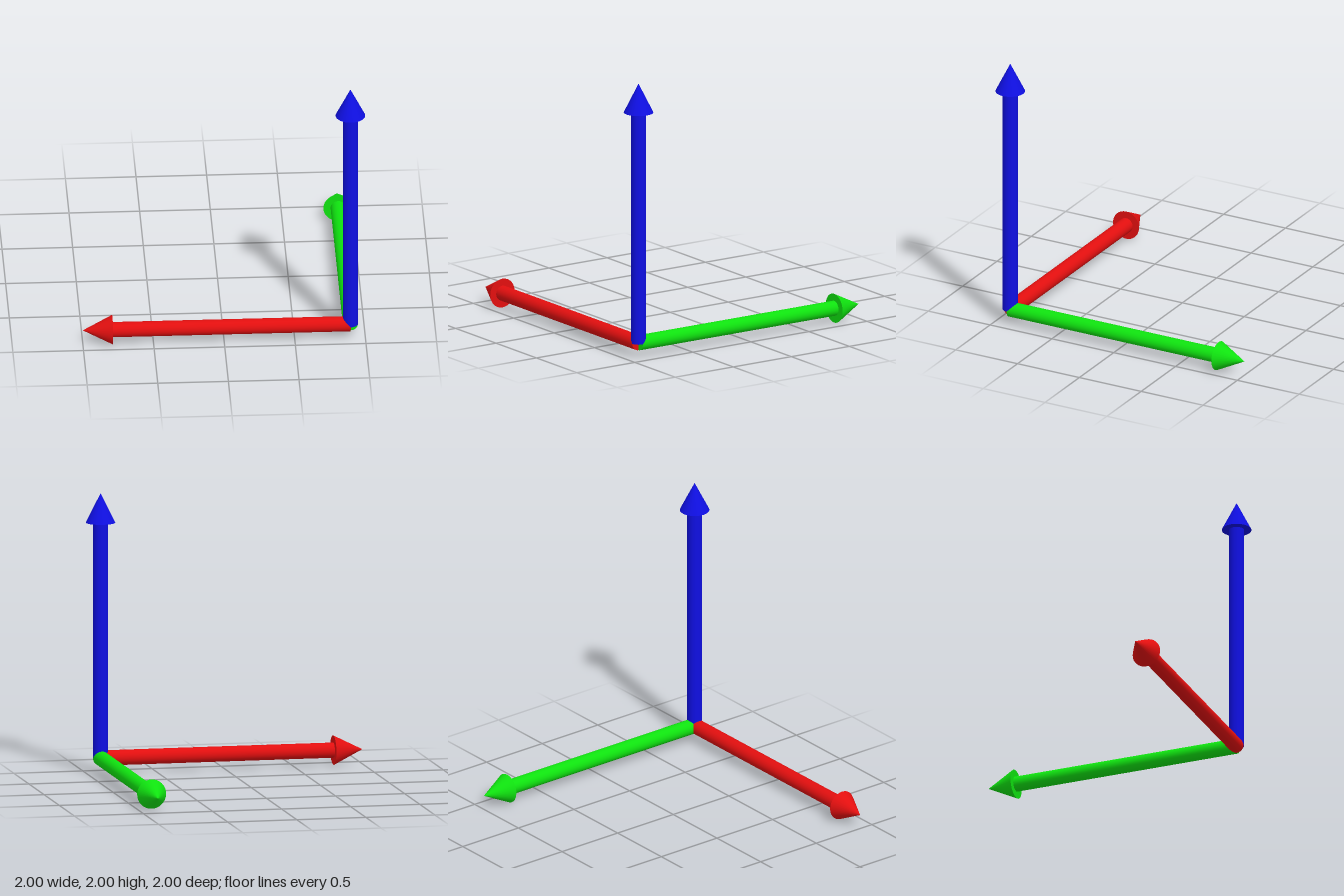
import * as THREE from 'three';

const SEGMENTS = 32;
const LENGTH = 1.895;
const HEAD_LENGTH = 0.21;
const HEAD_RADIUS = 0.105;
const SHAFT_RADIUS = 0.054;

function makeMaterial(name, color) {
  const material = new THREE.MeshStandardMaterial({ color });
  material.name = name;
  return material;
}

// An arrow that starts at the origin and points up +y
function makeArrow(name, material) {
  const arrow = new THREE.Group();
  arrow.name = name;

  const shaftLength = LENGTH - HEAD_LENGTH;
  const shaft = new THREE.Mesh(
    new THREE.CylinderGeometry(SHAFT_RADIUS, SHAFT_RADIUS, shaftLength, SEGMENTS), material);
  shaft.name = name + 'Shaft';
  shaft.position.y = shaftLength / 2;

  const head = new THREE.Mesh(
    new THREE.ConeGeometry(HEAD_RADIUS, HEAD_LENGTH, SEGMENTS), material);
  head.name = name + 'Head';
  head.position.y = LENGTH - HEAD_LENGTH / 2;

  arrow.add(shaft, head);
  return arrow;
}

export function createModel() {
  const model = new THREE.Group();
  model.name = 'axisArrows';

  // Three arrows share one corner
  const up = makeArrow('upArrow', makeMaterial('blue', 0x0f0fe2));
  const side = makeArrow('sideArrow', makeMaterial('red', 0xe20f0f));
  const back = makeArrow('backArrow', makeMaterial('green', 0x0fe20f));
  side.rotation.z = Math.PI / 2; // towards -x
  back.rotation.x = -Math.PI / 2; // towards -z

  for (const arrow of [up, side, back]) {
    arrow.position.set(0.895, HEAD_RADIUS, 0.895);
    model.add(arrow);
  }
  return model;
}
